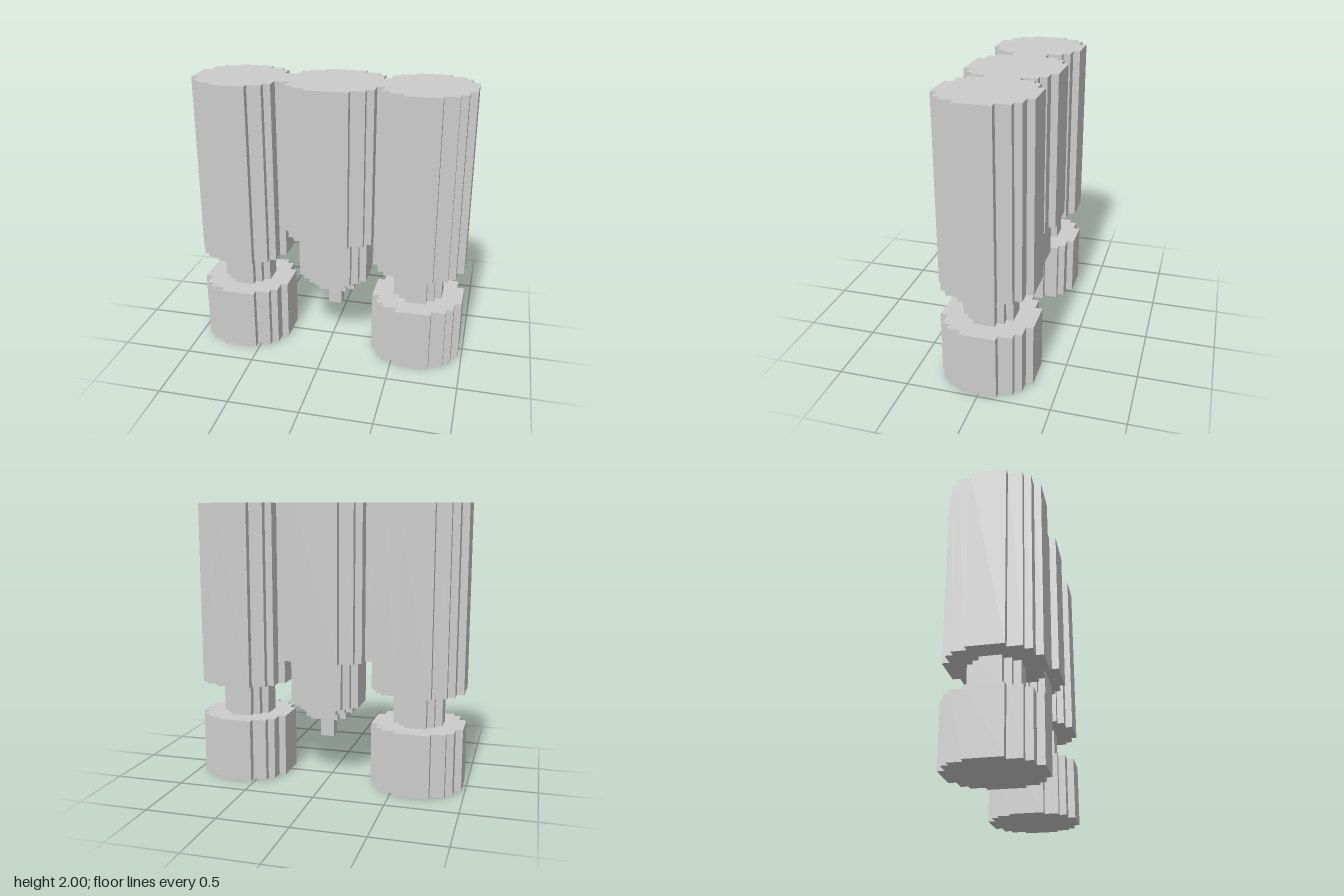
import * as THREE from 'three';

const material = new THREE.MeshStandardMaterial({ color: 0xcccccc, flatShading: true });

// Upright prism with a stepped, blocky round outline.
// steps: [half width, half depth] pairs from the narrowest to the widest.
function steppedPrism(name, x, y0, y1, steps) {
  const quarter = [];
  steps.forEach(([hx, hz], i) => {
    quarter.push([hx, hz]);
    if (i < steps.length - 1) quarter.push([hx, steps[i + 1][1]]);
  });
  const back = [...quarter].reverse();
  const outline = [
    ...quarter,
    ...back.map(([a, b]) => [a, -b]),
    ...quarter.map(([a, b]) => [-a, -b]),
    ...back.map(([a, b]) => [-a, b]),
  ].map(([a, b]) => new THREE.Vector2(a, b));
  const geometry = new THREE.ExtrudeGeometry(new THREE.Shape(outline), {
    depth: y1 - y0,
    bevelEnabled: false,
  });
  geometry.rotateX(-Math.PI / 2);
  const mesh = new THREE.Mesh(geometry, material);
  mesh.name = name;
  mesh.position.set(x, y0, 0);
  return mesh;
}

export function createModel() {
  const model = new THREE.Group();
  model.name = 'tripleColumn';

  // Outer columns: foot, narrow neck and tall body
  const wide = [[0.125, 0.325], [0.225, 0.275], [0.275, 0.225], [0.325, 0.125]];
  const neck = [[0.075, 0.175], [0.125, 0.125], [0.175, 0.075]];
  for (const [side, x] of [['left', 0.65], ['right', -0.65]]) {
    const column = new THREE.Group();
    column.name = side + 'Column';
    column.add(
      steppedPrism('foot', x, 0, 0.45, wide),
      steppedPrism('neck', x, 0.45, 0.7, neck),
      steppedPrism('body', x, 0.7, 2, wide),
    );
    model.add(column);
  }

  // Middle column, slightly wider and off centre, tapering down to a tip
  const middle = new THREE.Group();
  middle.name = 'middleColumn';
  const cx = 0.025;
  middle.add(
    steppedPrism('body', cx, 0.9, 2, [[0.15, 0.325], [0.25, 0.275], [0.3, 0.225], [0.35, 0.125]]),
    steppedPrism('collar', cx, 0.55, 0.9, [[0.15, 0.225], [0.2, 0.175], [0.25, 0.125]]),
    steppedPrism('upperTaper', cx, 0.5, 0.55, [[0.1, 0.175], [0.15, 0.125], [0.2, 0.075]]),
    steppedPrism('lowerTaper', cx, 0.45, 0.5, [[0.1, 0.125], [0.15, 0.075]]),
    steppedPrism('tip', cx, 0.3, 0.45, [[0.05, 0.04]]),
  );
  model.add(middle);

  return model;
}
